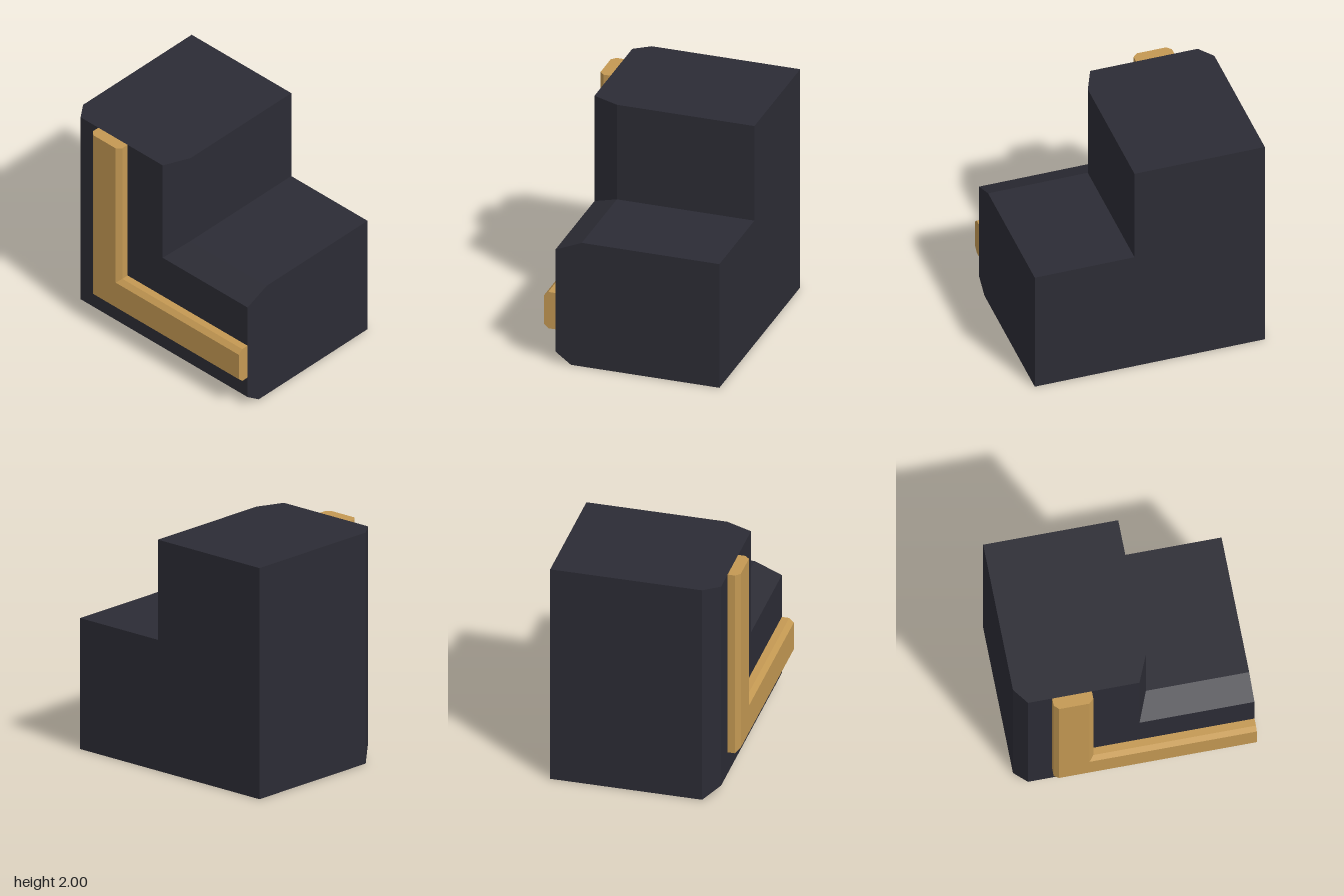
import * as THREE from 'three';

// Sweep a convex profile of [inset from outer edge, z] down the upright,
// round a mitred corner and out along the foot.
function mitredL(profile) {
  const stations = [
    ([u, z]) => [-1 + u, 2, z],
    ([u, z]) => [-1 + u, u, z],
    ([u, z]) => [1, u, z],
  ];
  const rings = stations.map((place) => profile.map(place));
  const n = profile.length;
  const pos = [];
  const tri = (a, b, c) => pos.push(...a, ...b, ...c);

  // Side walls of both arms
  for (let s = 0; s < 2; s++) {
    for (let i = 0; i < n; i++) {
      const k = (i + 1) % n;
      const a = rings[s][i], b = rings[s + 1][i], c = rings[s + 1][k], d = rings[s][k];
      tri(a, b, c);
      tri(a, c, d);
    }
  }
  // End caps
  for (let i = 1; i < n - 1; i++) {
    tri(rings[0][0], rings[0][i], rings[0][i + 1]);
    tri(rings[2][0], rings[2][i + 1], rings[2][i]);
  }

  const geo = new THREE.BufferGeometry();
  geo.setAttribute('position', new THREE.Float32BufferAttribute(pos, 3));
  geo.computeVertexNormals();
  return geo;
}

function part(name, profile, material) {
  const mesh = new THREE.Mesh(mitredL(profile), material);
  mesh.name = name;
  return mesh;
}

export function createModel() {
  const charcoal = new THREE.MeshStandardMaterial({ color: 0x2c2c35 });
  charcoal.name = 'charcoal';
  const gold = new THREE.MeshStandardMaterial({ color: 0xc49953 });
  gold.name = 'gold';

  const group = new THREE.Group();
  group.name = 'cornerFrame';

  // Thick L-shaped block with bevelled front edges
  group.add(part('frameBody', [
    [0, -0.767], [0, 0.53], [0.1, 0.665], [1.035, 0.665], [1.133, 0.435], [1.133, -0.767],
  ], charcoal));

  // Raised inlay strip following the same corner
  group.add(part('trimStrip', [
    [0.303, 0.665], [0.303, 0.728], [0.342, 0.767], [0.597, 0.767], [0.636, 0.728], [0.636, 0.665],
  ], gold));

  return group;
}
